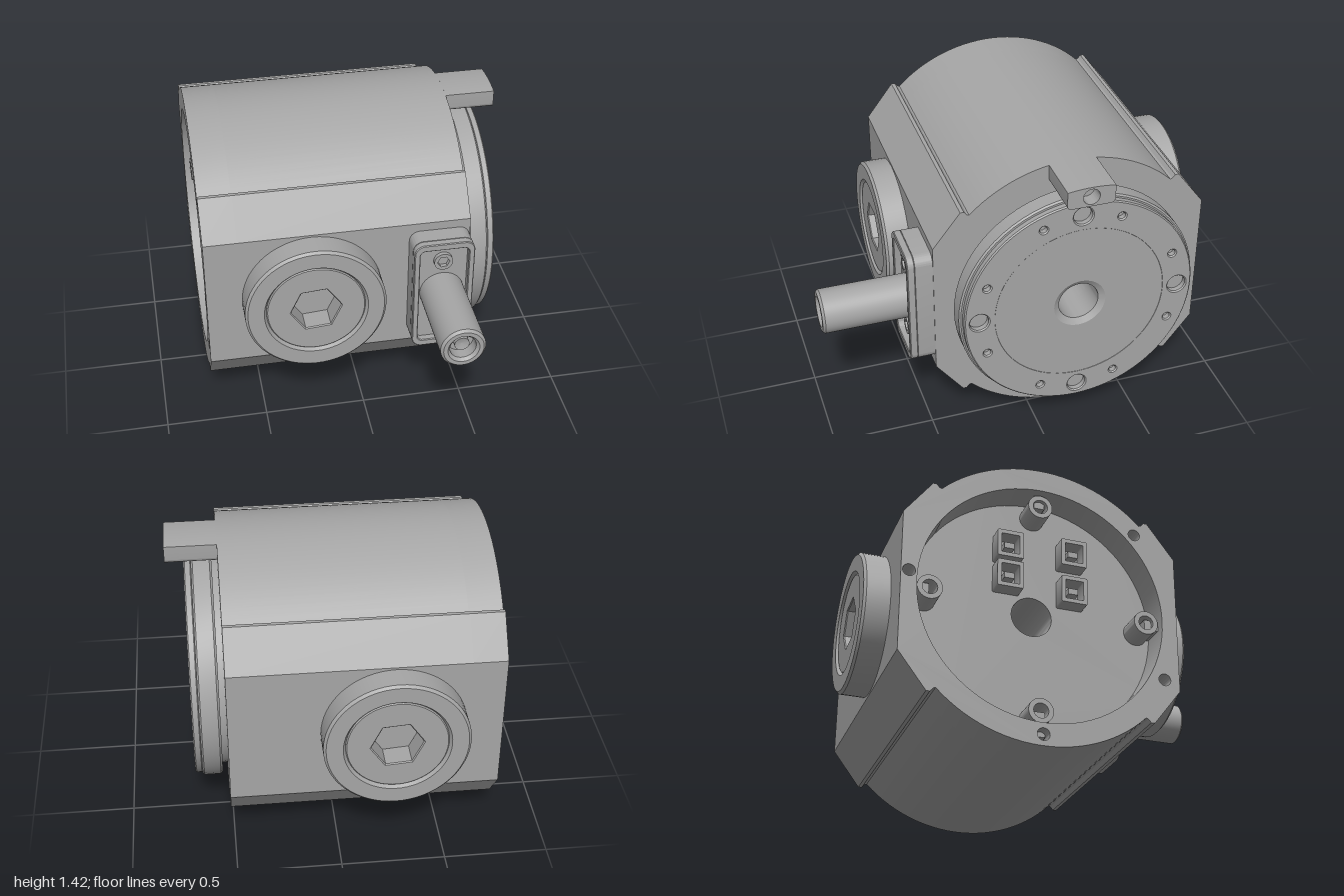
import * as THREE from 'three';
import { toCreasedNormals } from 'three/addons/utils/BufferGeometryUtils.js';

const CY = 0.71, CZ = -0.2; // main axis of the housing, running along x

export function createModel() {
  const model = new THREE.Group();
  model.name = 'rotaryActuator';
  const metal = new THREE.MeshStandardMaterial({ color: 0xa6a6a6 });
  metal.name = 'grey metal';

  const add = (parent, name, geo) => {
    const mesh = new THREE.Mesh(toCreasedNormals(geo, 0.5), metal);
    mesh.name = name;
    parent.add(mesh);
    return mesh;
  };
  const group = (parent, name, x, y, z) => {
    const g = new THREE.Group();
    g.name = name;
    g.position.set(x, y, z);
    parent.add(g);
    return g;
  };

  // Outline helpers
  const circle = (x, y, r, Kind = THREE.Path) => {
    const p = new Kind();
    p.absarc(x, y, r, 0, Math.PI * 2, false);
    return p;
  };
  const hexagon = (x, y, r) => new THREE.Path(Array.from({ length: 6 }, (_, i) => {
    const a = i * Math.PI / 3 + 0.08;
    return new THREE.Vector2(x + r * Math.cos(a), y + r * Math.sin(a));
  }));
  const roundedRect = (w, h, r, Kind = THREE.Shape) => {
    const p = new Kind(), a = w / 2 - r, b = h / 2 - r, q = Math.PI / 2;
    p.absarc(a, b, r, 0, q, false);
    p.absarc(-a, b, r, q, 2 * q, false);
    p.absarc(-a, -b, r, 2 * q, 3 * q, false);
    p.absarc(a, -b, r, 3 * q, 4 * q, false);
    p.closePath();
    return p;
  };
  const withHoles = (shape, ...holes) => {
    shape.holes.push(...holes);
    return shape;
  };

  // Solids along z, or along x (where the shape's first coordinate becomes -z)
  const alongZ = (shape, z0, z1, bevel = 0) => new THREE.ExtrudeGeometry(shape, {
    depth: z1 - z0 - 2 * bevel, curveSegments: 40, bevelEnabled: bevel > 0,
    bevelThickness: bevel, bevelSize: bevel, bevelOffset: -bevel, bevelSegments: 1,
  }).translate(0, 0, z0 + bevel);
  const alongX = (shape, x0, x1, bevel) => alongZ(shape, x0, x1, bevel).rotateY(Math.PI / 2);
  const lathe = (pts) => new THREE.LatheGeometry(pts.map(([r, h]) => new THREE.Vector2(r, h)), 64);
  const latheX = (pts) => lathe(pts).rotateZ(-Math.PI / 2);
  const latheZ = (pts) => lathe(pts).rotateX(Math.PI / 2);

  // Housing section: round top and bottom, flat sides, small step at each shoulder
  const quarter = [[0.675, 0.35], [0.54, 0.527], [0.522, 0.527], [0.508, 0.51]];
  for (let i = 0; i < 14; i++) {
    const a = THREE.MathUtils.degToRad(45.5 + i * 3.3);
    quarter.push([0.71 * Math.cos(a), 0.71 * Math.sin(a)]);
  }
  const mirrored = (sx, sy) => quarter.map(([x, y]) => new THREE.Vector2(x * sx, y * sy));
  const section = () => new THREE.Shape([
    ...mirrored(1, 1), ...mirrored(-1, 1).reverse(), ...mirrored(-1, -1), ...mirrored(1, -1).reverse(),
  ]);

  const housing = group(model, 'housing', 0, CY, CZ);
  add(housing, 'housingBody', alongX(withHoles(section(), circle(0, 0, 0.1)), -0.6, 0.515));
  const rimHoles = [[-0.47, 0.45], [-0.6, -0.3], [0, -0.655], [0.637, 0.05]]
    .map(([u, v]) => circle(u, v, 0.03));
  add(housing, 'rearRim', alongX(withHoles(section(), circle(0, 0, 0.6), ...rimHoles), -0.76, -0.6));

  // Screw bosses and sockets inside the rear cavity
  for (let i = 0; i < 4; i++) {
    const a = i * Math.PI / 2;
    const u = 0.53 * Math.cos(a), v = 0.53 * Math.sin(a);
    add(housing, 'cavityBoss', alongX(withHoles(circle(u, v, 0.06, THREE.Shape), circle(u, v, 0.036)), -0.73, -0.6));
    const web = add(housing, 'bossWeb', new THREE.BoxGeometry(0.11, 0.05, 0.12));
    web.position.set(-0.655, 0.59 * Math.sin(a), -0.59 * Math.cos(a));
    web.rotation.x = a + Math.PI / 2 + Math.PI / 2;
  }
  for (const [z, y] of [[-0.13, 0.33], [-0.13, 0.17], [0.19, 0.34], [0.19, 0.14]]) {
    const socket = withHoles(roundedRect(0.13, 0.14, 0.006), roundedRect(0.09, 0.1, 0.004, THREE.Path));
    add(housing, 'cavitySocket', alongX(socket, -0.68, -0.6)).position.set(0, y, z);
    add(housing, 'socketContact', new THREE.BoxGeometry(0.06, 0.03, 0.05)).position.set(-0.63, y, z);
  }

  // Output flange: neck, stepped disc, bolt ring and centre plate
  const flange = group(model, 'outputFlange', 0, CY, CZ);
  add(flange, 'flangeDisc', latheX([
    [0.1, 0.515], [0.535, 0.515], [0.535, 0.543], [0.578, 0.543], [0.59, 0.553],
    [0.59, 0.632], [0.582, 0.64], [0.1, 0.64], [0.1, 0.515],
  ]));
  const boltHoles = [];
  for (let i = 0; i < 16; i++) {
    if (i % 4 === 2) continue;
    const a = i * Math.PI / 8;
    boltHoles.push(circle(0.5 * Math.cos(a), 0.5 * Math.sin(a), i % 4 === 0 ? 0.046 : 0.018));
  }
  add(flange, 'boltRing', alongX(withHoles(circle(0, 0, 0.575, THREE.Shape), circle(0, 0, 0.42), ...boltHoles), 0.638, 0.675, 0.006));
  add(flange, 'centrePlate', latheX([
    [0.1, 0.64], [0.425, 0.64], [0.425, 0.674], [0.13, 0.674], [0.1, 0.655], [0.1, 0.64],
  ]));

  // Locating tab on top of the output end
  const tabShape = () => {
    const s = new THREE.Shape(), a = Math.asin(0.115 / 0.71);
    s.moveTo(-0.09, 0.61);
    s.lineTo(0.09, 0.61);
    s.quadraticCurveTo(0.115, 0.61, 0.115, 0.635);
    s.absarc(0, 0, 0.71, Math.PI / 2 - a, Math.PI / 2 + a, false);
    s.lineTo(-0.115, 0.635);
    s.quadraticCurveTo(-0.115, 0.61, -0.09, 0.61);
    return s;
  };
  const tab = group(model, 'locatingTab', 0, CY, CZ);
  add(tab, 'tabBase', alongX(tabShape(), 0.515, 0.69));
  add(tab, 'tabEnd', alongX(withHoles(tabShape(), circle(0, 0.66, 0.04)), 0.69, 0.76));

  // Round side plugs with hexagon sockets, one on each flat side
  for (const side of [1, -1]) {
    const plug = group(model, side > 0 ? 'frontPlug' : 'backPlug', -0.25, CY, CZ + side * 0.675);
    if (side < 0) plug.rotation.y = Math.PI;
    add(plug, 'plugCollar', latheZ([
      [0.34, 0], [0.34, 0.113], [0.328, 0.125], [0.25, 0.125], [0.237, 0.105], [0.237, 0],
    ]));
    add(plug, 'plugCap', alongZ(withHoles(circle(0, 0, 0.238, THREE.Shape), hexagon(0, 0, 0.122)), 0, 0.115, 0.005));
  }

  // Cable outlet: block with raised border, two screws and a hollow connector
  const outlet = group(model, 'cableOutlet', 0.365, 0.714, 0);
  add(outlet, 'outletBase', alongZ(roundedRect(0.292, 0.606, 0.05), 0.475, 0.56));
  add(outlet, 'outletBorder', alongZ(withHoles(roundedRect(0.292, 0.606, 0.05),
    roundedRect(0.235, 0.535, 0.025, THREE.Path)), 0.56, 0.598, 0.004));
  for (const y of [-0.185, 0.185]) {
    add(outlet, 'outletScrew', alongZ(withHoles(circle(0, y, 0.045, THREE.Shape), hexagon(0, y, 0.03)), 0.56, 0.58));
  }
  add(outlet, 'connector', latheZ([
    [0.107, 0.5], [0.107, 0.988], [0.095, 1], [0.075, 1], [0.062, 0.985], [0.062, 0.93],
    [0.035, 0.93], [0.035, 0.965], [0, 0.955],
  ]));
  return model;
}
